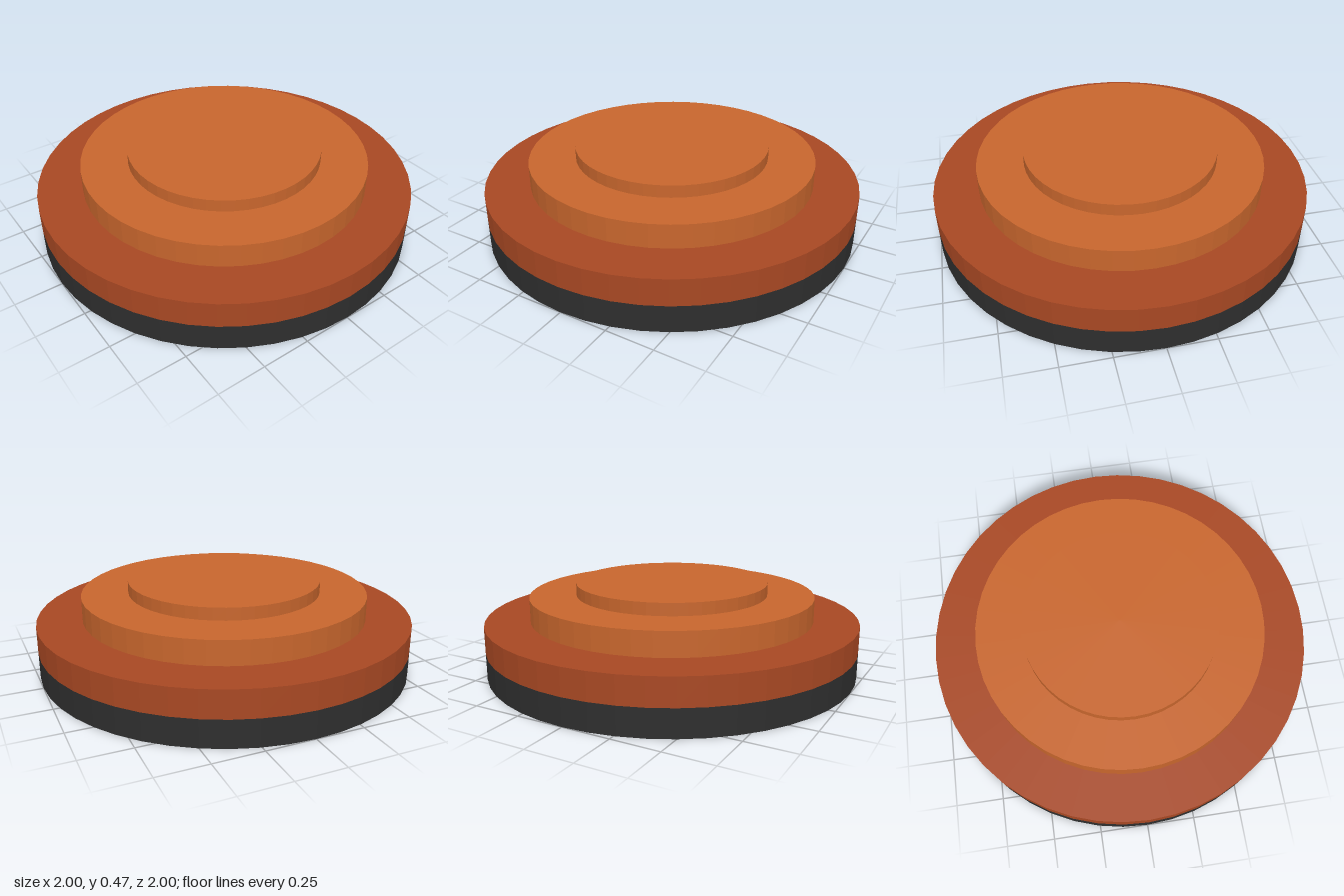
import * as THREE from 'three';

export function createModel() {
  const model = new THREE.Group();
  model.name = 'steppedDisc';

  const material = (name, color) => {
    const m = new THREE.MeshStandardMaterial({ color, flatShading: true });
    m.name = name;
    return m;
  };
  const charcoal = material('charcoal', 0x2e2e2e);
  const rust = material('rust', 0xa84823);
  const orange = material('orange', 0xc8662d);

  // Stacked tiers: name, radius, bottom, top, material
  const tiers = [
    ['base', 1, 0, 0.14, charcoal],
    ['lowerTier', 1, 0.14, 0.28, rust],
    ['middleTier', 0.763, 0.28, 0.405, orange],
    ['topTier', 0.515, 0.405, 0.47, orange],
  ];
  for (const [name, radius, bottom, top, mat] of tiers) {
    const mesh = new THREE.Mesh(new THREE.CylinderGeometry(radius, radius, top - bottom, 48), mat);
    mesh.name = name;
    mesh.position.y = (bottom + top) / 2;
    model.add(mesh);
  }
  return model;
}
